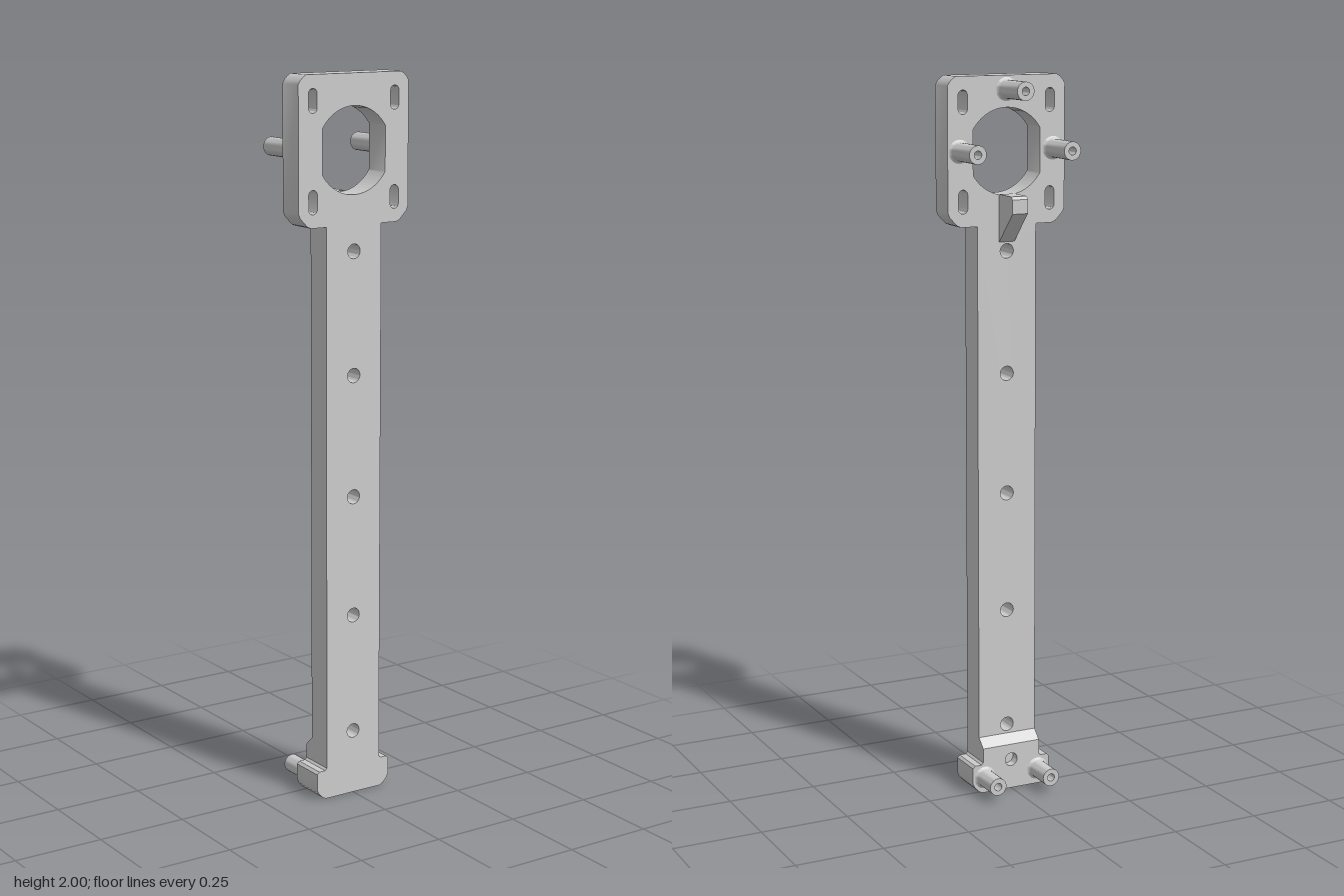
import * as THREE from 'three';
import { toCreasedNormals } from 'three/addons/utils/BufferGeometryUtils.js';

const FRONT = 0.093, BACK = 0.017, FOOT_BACK = -0.01, PEG_END = -0.095;
const material = new THREE.MeshStandardMaterial({ color: 0xcccccc });

function addMesh(group, name, geometry) {
  const mesh = new THREE.Mesh(toCreasedNormals(geometry, 0.6), material);
  mesh.name = name;
  group.add(mesh);
  return mesh;
}

// Closed outline from its right half (listed bottom to top), mirrored in x
function mirroredShape(half) {
  const left = half.map(([x, y]) => [-x, y]).reverse();
  return new THREE.Shape([...half, ...left].map(([x, y]) => new THREE.Vector2(x, y)));
}

function extrude(shape, z0, z1) {
  const g = new THREE.ExtrudeGeometry(shape, { depth: z1 - z0, bevelEnabled: false, curveSegments: 20 });
  return g.translate(0, 0, z0);
}

function roundHole(x, y, r) {
  return new THREE.Path().absarc(x, y, r, 0, Math.PI * 2, true);
}

// Upright slot with round ends
function slotHole(x, y, r, halfStraight) {
  const p = new THREE.Path();
  p.absarc(x, y + halfStraight, r, 0, Math.PI, false);
  p.absarc(x, y - halfStraight, r, Math.PI, Math.PI * 2, false);
  p.closePath();
  return p;
}

// Circle cut off by a flat on each side
function flatSidedHole(x, y, r, halfWidth) {
  const a = Math.acos(halfWidth / r);
  const p = new THREE.Path();
  p.absarc(x, y, r, a, Math.PI - a, false);
  p.absarc(x, y, r, Math.PI + a, Math.PI * 2 - a, false);
  p.closePath();
  return p;
}

// Prism running along x, from a profile of [z, y] points
function sidePrism(profile, width) {
  const shape = new THREE.Shape(profile.map(([z, y]) => new THREE.Vector2(-z, y)));
  const g = new THREE.ExtrudeGeometry(shape, { depth: width, bevelEnabled: false });
  return g.translate(0, 0, -width / 2).rotateY(Math.PI / 2);
}

// Peg pointing backwards: flared base and a blind bore in the tip
function addPeg(group, name, x, y, z) {
  const length = z - PEG_END;
  const profile = [
    [0.032, 0], [0.0285, 0.0015], [0.026, 0.004], [0.025, 0.008], [0.025, length],
    [0.011, length], [0.011, length - 0.05], [0, length - 0.05],
  ].map(([r, h]) => new THREE.Vector2(r, h));
  const peg = addMesh(group, name, new THREE.LatheGeometry(profile, 28).rotateX(-Math.PI / 2));
  peg.position.set(x, y, z);
}

export function createModel() {
  const group = new THREE.Group();
  group.name = 'mountingArm';

  // Foot, bar and head in one plate
  const footHalf = [[0.092, 0], [0.103, 0.006], [0.115, 0.019], [0.12, 0.03], [0.12, 0.076], [0.113, 0.083]];
  const plate = mirroredShape([
    ...footHalf, [0.094, 0.083], [0.088, 0.089],
    [0.088, 1.6], [0.136, 1.6], [0.148, 1.605], [0.17, 1.628], [0.175, 1.64],
    [0.175, 1.975], [0.169, 1.985], [0.16, 1.994], [0.15, 2],
  ]);
  plate.holes.push(flatSidedHole(0, 1.798, 0.117, 0.1));
  for (let i = 0; i < 5; i++) plate.holes.push(roundHole(0, 0.182 + i * 0.337, 0.02));
  for (const x of [-0.13, 0.13])
    for (const y of [1.668, 1.932]) plate.holes.push(slotHole(x, y, 0.0135, 0.0185));
  addMesh(group, 'armPlate', extrude(plate, BACK, FRONT));

  // Thicker back of the foot with a blind hole
  const pad = mirroredShape([...footHalf, [0.094, 0.083], [0.088, 0.089], [0.088, 0.13]]);
  pad.holes.push(roundHole(0, 0.085, 0.019));
  addMesh(group, 'footPad', extrude(pad, FOOT_BACK, BACK));
  addMesh(group, 'footPadSlope', sidePrism([[BACK, 0.13], [FOOT_BACK, 0.13], [BACK, 0.155]], 0.176));

  // Support rib below the large opening
  addMesh(group, 'supportRib', sidePrism(
    [[BACK, 1.555], [-0.063, 1.638], [-0.063, 1.676], [-0.055, 1.684], [BACK, 1.684]], 0.046));

  // Locating pegs
  addPeg(group, 'topPeg', 0, 1.963, BACK);
  for (const [side, s] of [['left', 1], ['right', -1]]) {
    addPeg(group, side + 'HeadPeg', s * 0.14, 1.802, BACK);
    addPeg(group, side + 'FootPeg', s * 0.083, 0.045, FOOT_BACK);
  }
  return group;
}
